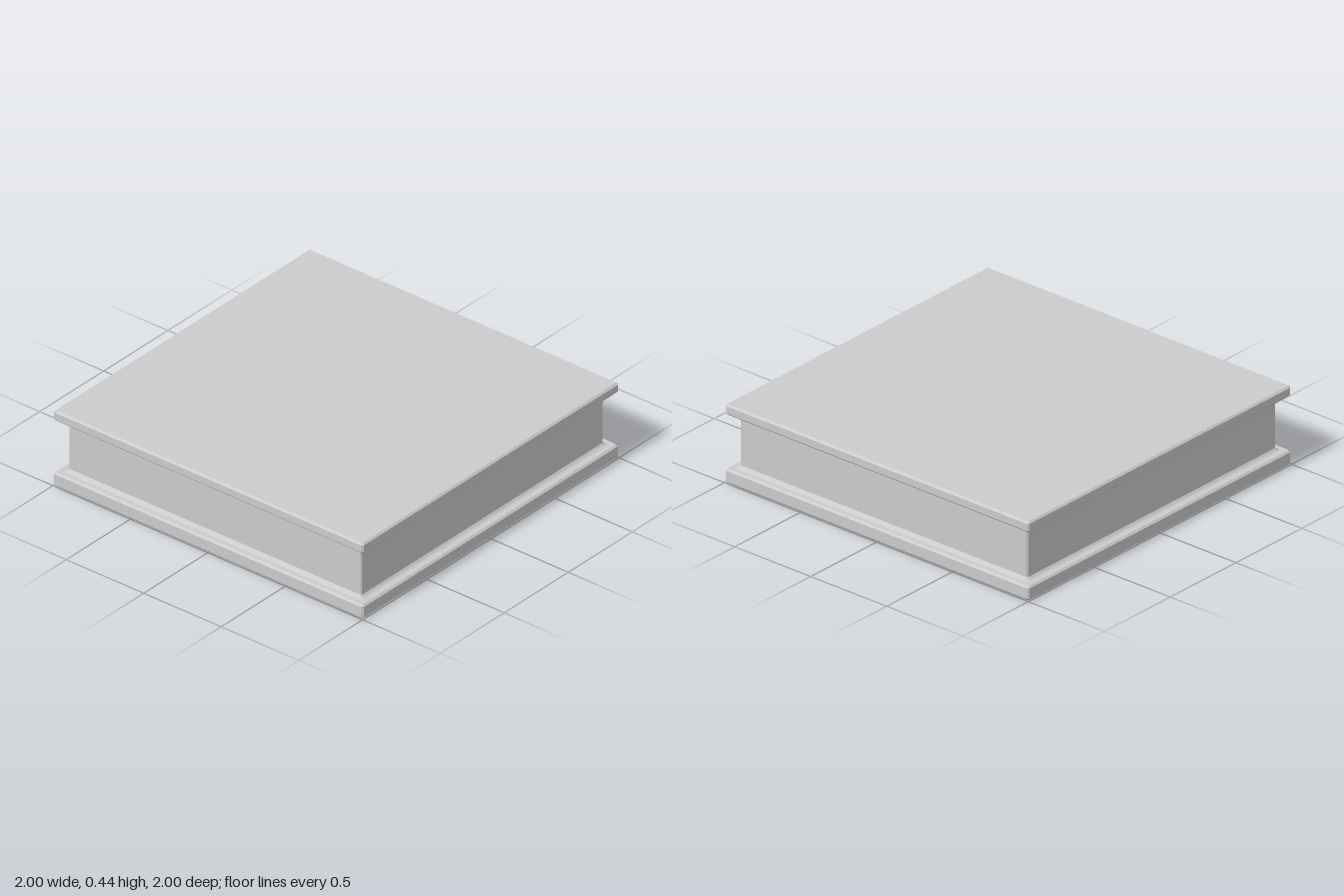
import * as THREE from 'three';

const material = new THREE.MeshStandardMaterial({ color: 0xcccccc, flatShading: true });

// Square outline with bevelled corners, counter-clockwise from above
function ring(half, y, bevel) {
  const k = half - bevel;
  return [[half, k], [half, -k], [k, -half], [-k, -half],
    [-half, -k], [-half, k], [-k, half], [k, half]].map(([x, z]) => [x, y, z]);
}

// Skins a bottom-to-top profile of [half width, height] and optionally closes both ends
function loft(name, profile, bevel, capped) {
  const top = profile[profile.length - 1][0];
  const widest = Math.max(top, ...profile.map((p) => p[0]));
  const rings = profile.map(([h, y]) => ring(h, y, Math.max(0.003, bevel - (widest - h) * 0.5)));
  const n = 8, positions = [], index = [];
  rings.forEach((r) => r.forEach((p) => positions.push(...p)));
  for (let j = 0; j < rings.length - 1; j++) {
    for (let i = 0; i < n; i++) {
      const a = j * n + i, b = j * n + (i + 1) % n;
      index.push(a, b, b + n, a, b + n, a + n);
    }
  }
  if (capped) {
    const last = (rings.length - 1) * n;
    for (let i = 1; i < n - 1; i++) {
      index.push(0, i + 1, i);
      index.push(last, last + i, last + i + 1);
    }
  }
  const indexed = new THREE.BufferGeometry();
  indexed.setAttribute('position', new THREE.Float32BufferAttribute(positions, 3));
  indexed.setIndex(index);
  const geometry = indexed.toNonIndexed();
  geometry.computeVertexNormals();
  const mesh = new THREE.Mesh(geometry, material);
  mesh.name = name;
  return mesh;
}

// Flat slab with bevelled rims
function slab(name, y0, y1) {
  const c = 0.01;
  return loft(name, [[1 - c, y0], [1, y0 + c], [1, y1 - c], [1 - c, y1]], 0.01, true);
}

export function createModel() {
  const group = new THREE.Group();
  group.name = 'plinth';

  group.add(slab('baseSlab', 0, 0.08));
  // Recessed body flaring into a small moulding at each slab
  group.add(loft('body', [
    [0.965, 0.08], [0.955, 0.085], [0.945, 0.096],
    [0.945, 0.364], [0.955, 0.375], [0.965, 0.38],
  ], 0.018, false));
  group.add(slab('topSlab', 0.38, 0.44));
  return group;
}
